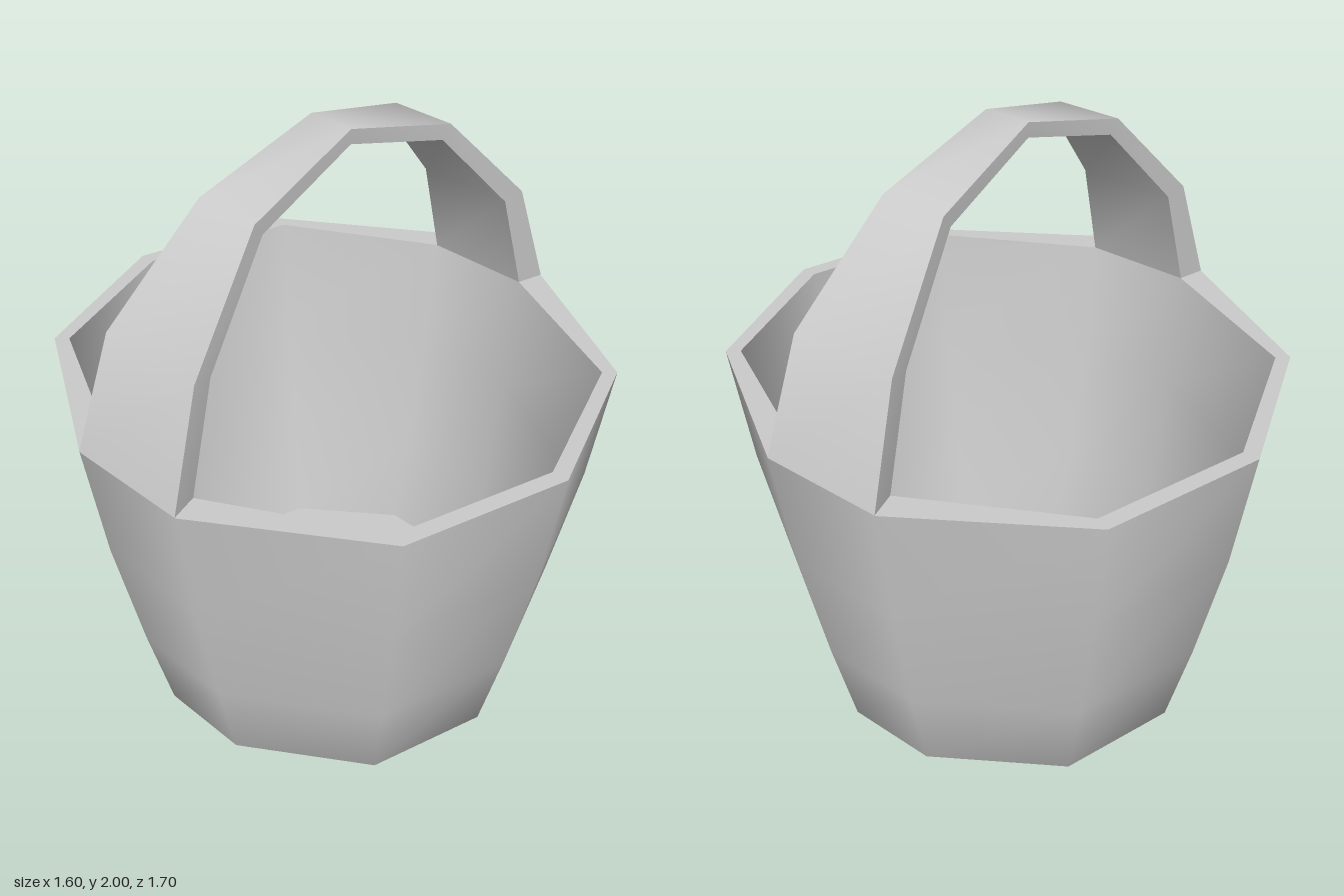
import * as THREE from 'three';

const material = new THREE.MeshStandardMaterial({ color: 0xcccccc });

// Skin a list of rings (arrays of [x, y, z]) with smooth normals.
function loft(name, rings, closed) {
  const n = rings[0].length, index = [];
  const steps = closed ? n : n - 1;
  for (let i = 0; i < rings.length - 1; i++) {
    for (let j = 0; j < steps; j++) {
      const k = (j + 1) % n;
      const a = i * n + j, b = i * n + k, c = a + n, d = b + n;
      index.push(a, c, b, b, c, d);
    }
  }
  const geometry = new THREE.BufferGeometry();
  geometry.setAttribute('position', new THREE.Float32BufferAttribute(rings.flat(2), 3));
  geometry.setIndex(index);
  geometry.computeVertexNormals();
  const mesh = new THREE.Mesh(geometry, material);
  mesh.name = name;
  return mesh;
}

// Ten-sided outlines: half is listed, the other half is turned 180 degrees.
const turned = (half) => [...half, ...half.map(([x, z]) => [-x, -z])];
const outerRim = turned([[-0.01, -0.85], [0.48, -0.7], [0.8, -0.21], [0.8, 0.18], [0.51, 0.67]]);
const innerRim = turned([[-0.01, -0.8], [0.46, -0.655], [0.715, -0.185], [0.715, 0.157], [0.48, 0.637]]);
const floorEdge = turned([[-0.015, -0.595], [0.34, -0.485], [0.56, -0.193], [0.56, 0.165], [0.357, 0.47]]);

const ring = (outline, y, s = 1) => outline.map(([x, z]) => [x * s, y, z * s]);

function blend(t, y) {
  return floorEdge.map(([x, z], i) => [
    x + (innerRim[i][0] - x) * t, y, z + (innerRim[i][1] - z) * t,
  ]);
}

export function createModel() {
  const model = new THREE.Group();
  model.name = 'bucket';
  const top = 1.25, floorY = 0.13;

  // Underside, bevelled foot and flaring outer wall
  const profile = [[0, 0], [0.1, 0], [0.59, 0.01], [0.757, 0.13], [0.845, 0.45], [0.94, 0.86], [1, top]];
  model.add(loft('outerWall', profile.map(([s, y]) => ring(outerRim, y, s)), true));

  // Flat rim, inner wall and inside floor
  model.add(loft('rim', [ring(outerRim, top), ring(innerRim, top)], true));
  model.add(loft('innerWall', [blend(1, top), blend(0.75, 0.86), blend(0.36, 0.45), blend(0, floorY)], true));
  model.add(loft('innerFloor', [ring(floorEdge, floorY), ring(floorEdge, floorY, 0)], true));

  // Arched handle: outer x, y, half width, then inner x, y, half width
  const half = [
    [0.8, 1.25, 0.195, 0.715, 1.25, 0.171],
    [0.68, 1.59, 0.17, 0.615, 1.575, 0.157],
    [0.39, 1.89, 0.102, 0.36, 1.85, 0.099],
    [0, 2, 0.072, 0, 1.957, 0.072],
  ];
  const mirrored = half.slice(0, 3).reverse();
  const stations = [
    ...half.map(([x, y, w, u, v, q]) => [-x, y, w, -u, v, q]),
    ...mirrored,
  ];
  const sections = stations.map(([x, y, w, u, v, q]) => {
    const skew = -0.016 * x;
    return [
      [x, y, skew + w], [x, y, skew - w],
      [u, v, skew - q], [u, v, skew + q],
    ];
  });
  const handle = new THREE.Group();
  handle.name = 'handle';
  ['handleTop', 'handleBackEdge', 'handleUnderside', 'handleFrontEdge'].forEach((name, i) => {
    handle.add(loft(name, sections.map((s) => [s[i], s[(i + 1) % 4]]), false));
  });
  model.add(handle);
  return model;
}
